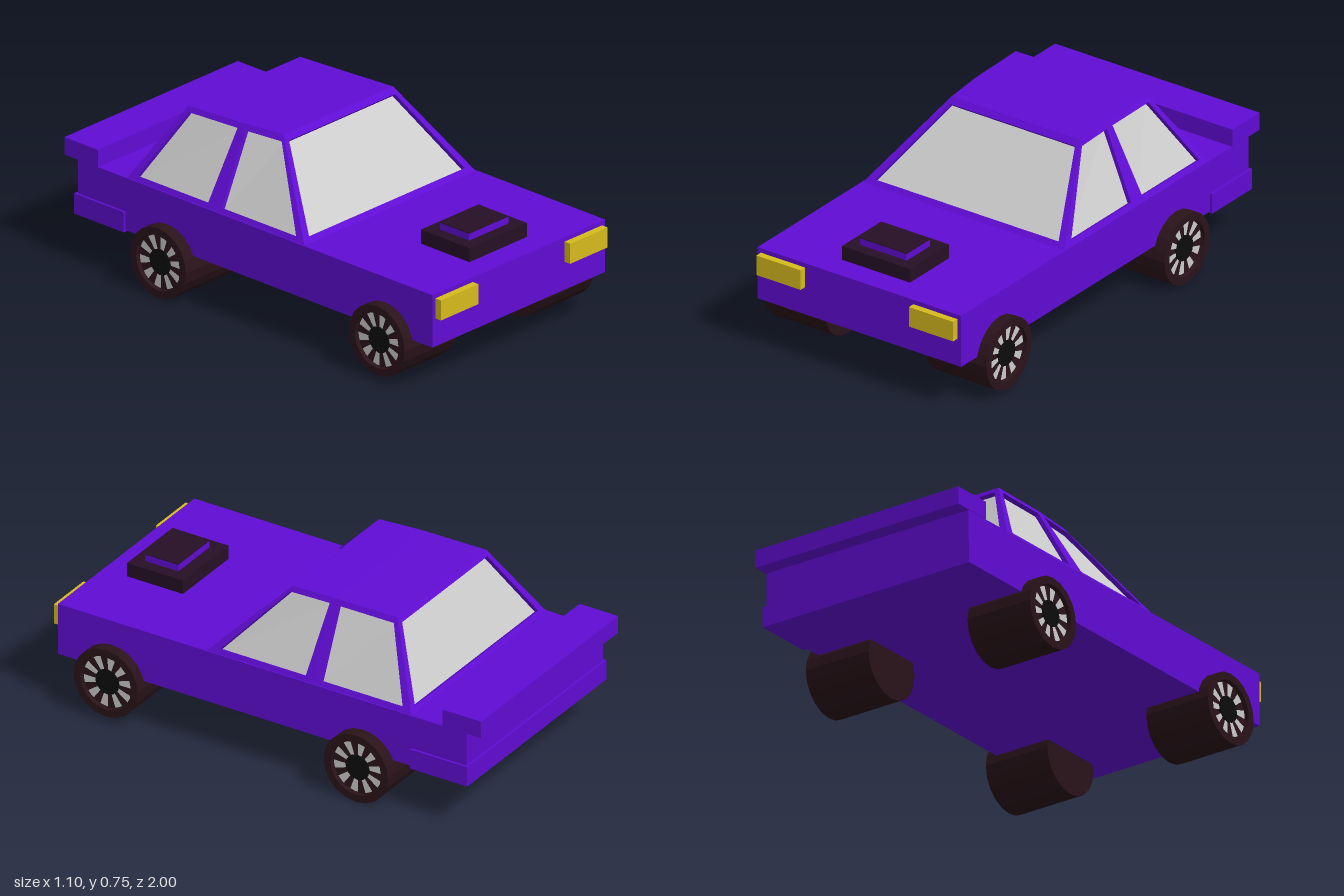
import * as THREE from 'three';
import { mergeGeometries } from 'three/addons/utils/BufferGeometryUtils.js';

const mat = (color) => new THREE.MeshStandardMaterial({ color, flatShading: true });
const paint = mat(0x600cd4), glass = mat(0xcccccc), lamp = mat(0xd6ba1c);
const rubber = mat(0x2a131a), black = mat(0x0c0c0c), scoopDark = mat(0x260f26);
glass.side = THREE.DoubleSide;

const V = (x, y, z) => new THREE.Vector3(x, y, z);

function add(parent, name, geometry, material) {
  const mesh = new THREE.Mesh(geometry, material);
  mesh.name = name;
  parent.add(mesh);
  return mesh;
}

// Box given by its minimum and maximum on each axis
function box(parent, name, material, [x0, x1], [y0, y1], [z0, z1]) {
  const mesh = add(parent, name, new THREE.BoxGeometry(x1 - x0, y1 - y0, z1 - z0), material);
  mesh.position.set((x0 + x1) / 2, (y0 + y1) / 2, (z0 + z1) / 2);
  return mesh;
}

// Quads, corners anticlockwise from outside
function quads(list) {
  const pos = [];
  for (const [a, b, c, d] of list) for (const p of [a, b, c, a, c, d]) pos.push(p.x, p.y, p.z);
  const g = new THREE.BufferGeometry();
  g.setAttribute('position', new THREE.Float32BufferAttribute(pos, 3));
  g.computeVertexNormals();
  return g;
}

// Sloping cabin side: frame, window reveal and recessed glass.
// Corners run bottom left, bottom right, top right, top left from outside.
function windowPanel(parent, name, outer, m) {
  const [a, b, c, d] = outer;
  const at = (u, v) => a.clone().lerp(b, u).lerp(d.clone().lerp(c, u), v);
  const inner = [at(m, 0.06), at(1 - m, 0.06), at(1 - m, 0.93), at(m, 0.93)];
  const normal = b.clone().sub(a).cross(d.clone().sub(a)).normalize();
  const deep = inner.map((p) => p.clone().addScaledVector(normal, -0.018));
  const frame = [];
  for (let i = 0; i < 4; i++) {
    const j = (i + 1) % 4;
    frame.push([outer[i], outer[j], inner[j], inner[i]]);
    frame.push([inner[i], inner[j], deep[j], deep[i]]);
  }
  add(parent, name + 'Frame', quads(frame), paint);
  add(parent, name + 'Glass', quads([deep]), glass);
}

function createCabin() {
  const cabin = new THREE.Group();
  cabin.name = 'cabin';
  // Left and right points of the sill and the roof: front, door pillar, rear
  const sill = [0.28, -0.21, -0.67].map((z) => [V(0.49, 0.43, z), V(-0.49, 0.43, z)]);
  const roof = [
    [V(0.345, 0.745, -0.025), V(-0.283, 0.745, -0.025)],
    [V(0.332, 0.742, -0.215), V(-0.305, 0.742, -0.215)],
    [V(0.32, 0.735, -0.5), V(-0.32, 0.735, -0.5)],
  ];
  windowPanel(cabin, 'windscreen', [sill[0][1], sill[0][0], roof[0][0], roof[0][1]], 0.035);
  windowPanel(cabin, 'rearWindow', [sill[2][0], sill[2][1], roof[2][1], roof[2][0]], 0.035);
  ['front', 'rear'].forEach((end, i) => {
    windowPanel(cabin, end + 'LeftWindow', [sill[i][0], sill[i + 1][0], roof[i + 1][0], roof[i][0]], 0.08);
    windowPanel(cabin, end + 'RightWindow', [sill[i + 1][1], sill[i][1], roof[i][1], roof[i + 1][1]], 0.08);
  });
  add(cabin, 'roof', quads([0, 1].map((i) => [roof[i][1], roof[i][0], roof[i + 1][0], roof[i + 1][1]])), paint);
  return cabin;
}

// Wheel with its outer face towards +z, starting at z = 0
function createWheel(name, width) {
  const wheel = new THREE.Group();
  wheel.name = name;
  const r = 0.15, lip = 0.118, face = width - 0.02;
  const profile = [[0, 0], [r, 0], [r, width], [lip, width], [lip, face], [0, face]];
  const tyre = new THREE.LatheGeometry(profile.map(([x, y]) => new THREE.Vector2(x, y)), 20);
  add(wheel, 'tyre', tyre.rotateX(Math.PI / 2), rubber);
  const spokes = [];
  for (let i = 0; i < 10; i++) {
    spokes.push(new THREE.RingGeometry(0.05, 0.112, 2, 1, (i * Math.PI) / 5, 0.32));
  }
  add(wheel, 'spokes', mergeGeometries(spokes), glass).position.z = face + 0.004;
  const hub = new THREE.CylinderGeometry(0.055, 0.055, 0.01, 12).rotateX(Math.PI / 2);
  add(wheel, 'hub', hub, black).position.z = face + 0.005;
  return wheel;
}

export function createModel() {
  const car = new THREE.Group();
  car.name = 'car';

  // Body, rear bumper and spoiler
  box(car, 'body', paint, [-0.495, 0.495], [0.205, 0.43], [-0.93, 0.97]);
  box(car, 'rearBumper', paint, [-0.505, 0.505], [0.198, 0.285], [-0.94, -0.675]);
  box(car, 'spoiler', paint, [-0.497, 0.497], [0.43, 0.505], [-1, -0.82]);
  car.add(createCabin());

  // Bonnet scoop
  box(car, 'scoopBase', scoopDark, [-0.165, 0.165], [0.43, 0.49], [0.6, 0.86]);
  box(car, 'scoopRiser', paint, [-0.113, 0.113], [0.49, 0.519], [0.655, 0.81]);
  box(car, 'scoopTop', scoopDark, [-0.113, 0.113], [0.519, 0.522], [0.655, 0.81]);

  // Headlights and wheels on both sides
  for (const s of [1, -1]) {
    const side = s > 0 ? 'Left' : 'Right';
    const span = s > 0 ? [0.263, 0.478] : [-0.478, -0.263];
    box(car, 'headlight' + side, lamp, span, [0.325, 0.411], [0.96, 1]);
    for (const [end, y, z, out] of [['front', 0.173, 0.717, 0.543], ['rear', 0.15, -0.45, 0.549]]) {
      const wheel = createWheel(end + side + 'Wheel', out - 0.242);
      wheel.rotation.y = (s * Math.PI) / 2;
      wheel.position.set(s * 0.242, y, z);
      car.add(wheel);
    }
  }
  return car;
}
